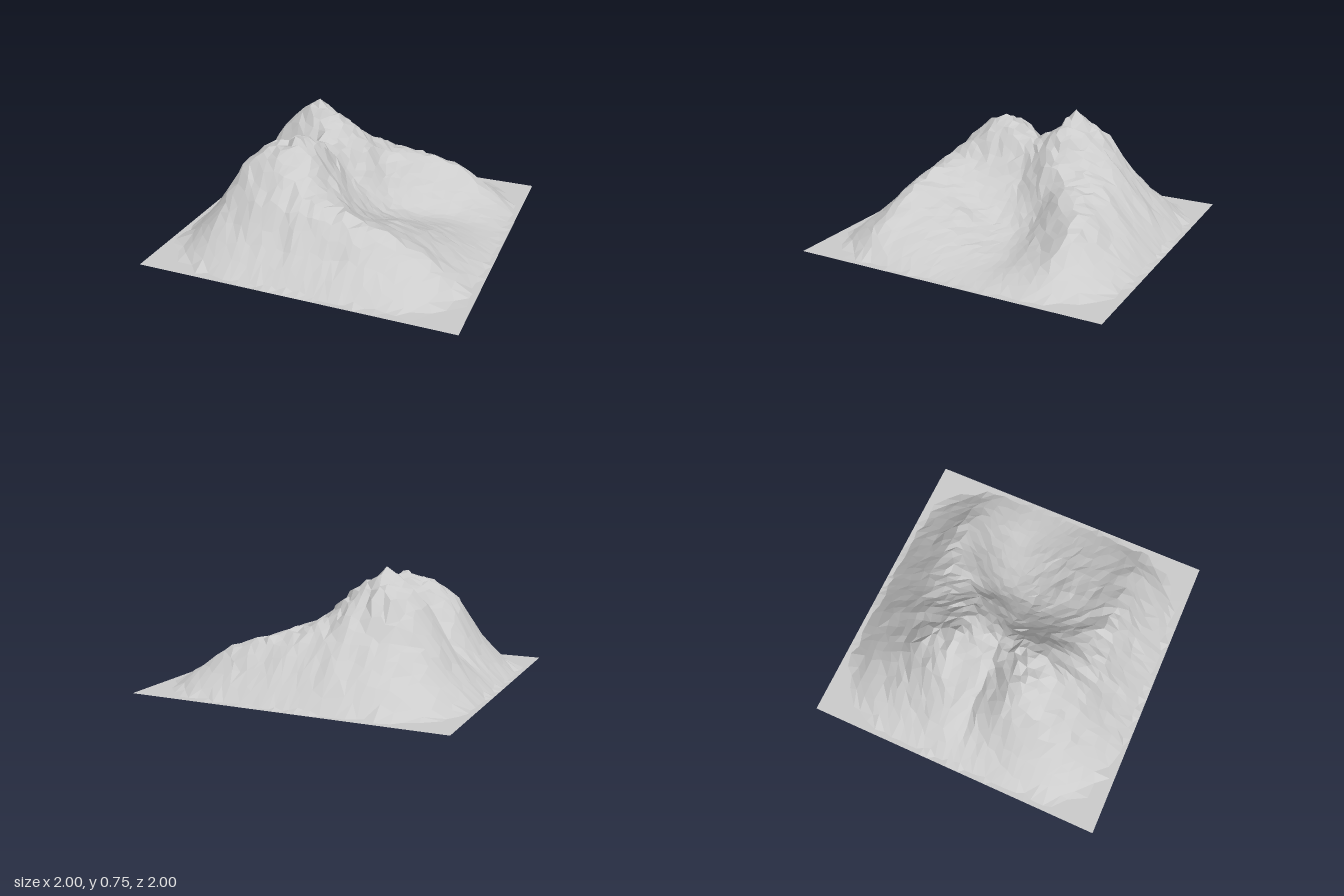
import * as THREE from 'three';

// Broad heights in hundredths: rows run back to front, columns run from -x to +x, 0.2 apart
const HEIGHTS = [
  [0, 0, 0, 0, 0, 0, 0, 0, 0, 0, 0],
  [0, 5, 11, 15, 17, 16, 15, 13, 9, 4, 0],
  [0, 10, 25, 35, 38, 35, 33, 30, 21, 9, 0],
  [0, 15, 41, 59, 56, 43, 37, 22, 12, 6, 0],
  [0, 18, 51, 68, 66, 49, 20, 9, 5, 3, 0],
  [0, 14, 33, 47, 57, 34, 15, 9, 8, 4, 0],
  [0, 16, 46, 60, 63, 37, 20, 17, 13, 7, 0],
  [0, 16, 47, 59, 58, 41, 29, 24, 18, 9, 0],
  [0, 12, 29, 39, 41, 39, 35, 30, 21, 10, 0],
  [0, 4, 11, 15, 16, 16, 15, 13, 9, 4, 0],
  [0, 0, 0, 0, 0, 0, 0, 0, 0, 0, 0],
];

// Small crags on the crest and ridges: x, z, height, radius
const CRAGS = [
  [-0.33, -0.23, 0.03, 0.07],
  [-0.28, 0.4, 0.02, 0.07],
  [-0.2, 0.25, 0.02, 0.06],
  [-0.45, -0.38, 0.02, 0.06],
  [0.57, -0.62, 0.02, 0.07],
  [0.38, 0.2, 0.02, 0.06],
  [0.72, 0.6, 0.02, 0.08],
];
const SUMMIT = new THREE.Vector3(-0.33, 0.75, -0.23);

const clamp = THREE.MathUtils.clamp;
const smooth = THREE.MathUtils.smoothstep;

function cubic(a, b, c, d, t) {
  return b + 0.5 * t * (c - a + t * (2 * a - 5 * b + 4 * c - d + t * (3 * (b - c) + d - a)));
}

// Smooth interpolation of the broad heights
function broadHeight(x, z) {
  const u = (x + 1) * 5, v = (z + 1) * 5;
  const i = Math.min(9, Math.floor(u)), j = Math.min(9, Math.floor(v));
  const at = (r, c) => HEIGHTS[clamp(r, 0, 10)][clamp(c, 0, 10)] / 100;
  const row = (r) => cubic(at(r, i - 1), at(r, i), at(r, i + 1), at(r, i + 2), u - i);
  return cubic(row(j - 1), row(j), row(j + 1), row(j + 2), v - j);
}

// Steep gully cut into the -x flank
function gullyDepth(x, z) {
  const along = smooth(x, -0.85, -0.6) * (1 - smooth(x, -0.35, -0.12));
  const across = Math.abs(z - (0.01 + 0.14 * (x + 0.1)));
  return 0.05 * along * Math.max(0, 1 - across / 0.14);
}

function seeded(seed) {
  return () => {
    seed = (seed * 16807) % 2147483647;
    return (seed / 2147483647) * 2 - 1;
  };
}

export function createModel() {
  const N = 34;
  const rand = seeded(4217);
  const geometry = new THREE.PlaneGeometry(2, 2, N, N).rotateX(-Math.PI / 2);
  const pos = geometry.attributes.position;
  // Small facets near the summit, larger ones lower down, and a narrow flat border
  const curve = (t) => t * (0.72 + 0.28 * t * t);
  const spread = (t) => (Math.abs(t) > 0.999 ? t : (0.96 * curve(t)) / curve(1 - 2 / N));
  const jitter = (t) => rand() * (0.6 / N) * (0.72 + 0.84 * t * t);
  let peak = 0, nearest = Infinity;

  for (let k = 0; k < pos.count; k++) {
    const u = pos.getX(k), v = pos.getZ(k);
    if (Math.max(Math.abs(u), Math.abs(v)) > 0.999) {
      pos.setXYZ(k, spread(u), 0, spread(v));
      continue;
    }
    const x = clamp(spread(u) + jitter(u), -0.97, 0.97);
    const z = clamp(spread(v) + jitter(v), -0.97, 0.97);
    let h = broadHeight(x, z) - gullyDepth(x, z);
    // Ribs running down the outer slopes, kept out of the open bowl
    const angle = Math.atan2(z, x + 0.2);
    const slope = smooth(h, 0.04, 0.25) * smooth(Math.abs(angle), 0.5, 1.1);
    h += slope * (0.007 * Math.sin(angle * 15) + 0.005 * Math.sin(angle * 27 + 1));
    // Broken rock towards the crest
    h += rand() * (0.007 + 0.01 * smooth(h, 0.2, 0.55)) * smooth(h, 0, 0.15);
    for (const [cx, cz, height, r] of CRAGS) {
      h += height * Math.exp(-((x - cx) ** 2 + (z - cz) ** 2) / (r * r));
    }
    // Foot of the mountain: a rounded square with flat ground in the corners
    const inset = Math.max(0, 0.965 - (x ** 4 + z ** 4) ** 0.25);
    h = clamp(h, 0, inset * (0.85 + 1.6 * inset));
    pos.setXYZ(k, x, h, z);
    const distance = Math.hypot(x - SUMMIT.x, z - SUMMIT.z);
    if (distance < nearest) {
      nearest = distance;
      peak = k;
    }
  }
  pos.setXYZ(peak, SUMMIT.x, SUMMIT.y, SUMMIT.z);

  // Split each cell along its flatter diagonal so facets follow ridges and gullies
  const index = [];
  for (let j = 0; j < N; j++) {
    for (let i = 0; i < N; i++) {
      const a = j * (N + 1) + i, b = a + 1, c = a + N + 1, d = c + 1;
      const ad = Math.abs(pos.getY(a) - pos.getY(d));
      const bc = Math.abs(pos.getY(b) - pos.getY(c));
      if (ad < bc) index.push(a, c, d, a, d, b);
      else index.push(a, c, b, b, c, d);
    }
  }
  geometry.setIndex(index);
  geometry.computeVertexNormals();

  // Open sheet of rock, hollow underneath
  const mountain = new THREE.Mesh(
    geometry,
    new THREE.MeshStandardMaterial({ color: 0xcccccc, flatShading: true, side: THREE.DoubleSide })
  );
  mountain.name = 'mountainTerrain';
  const group = new THREE.Group();
  group.name = 'mountain';
  group.add(mountain);
  return group;
}
